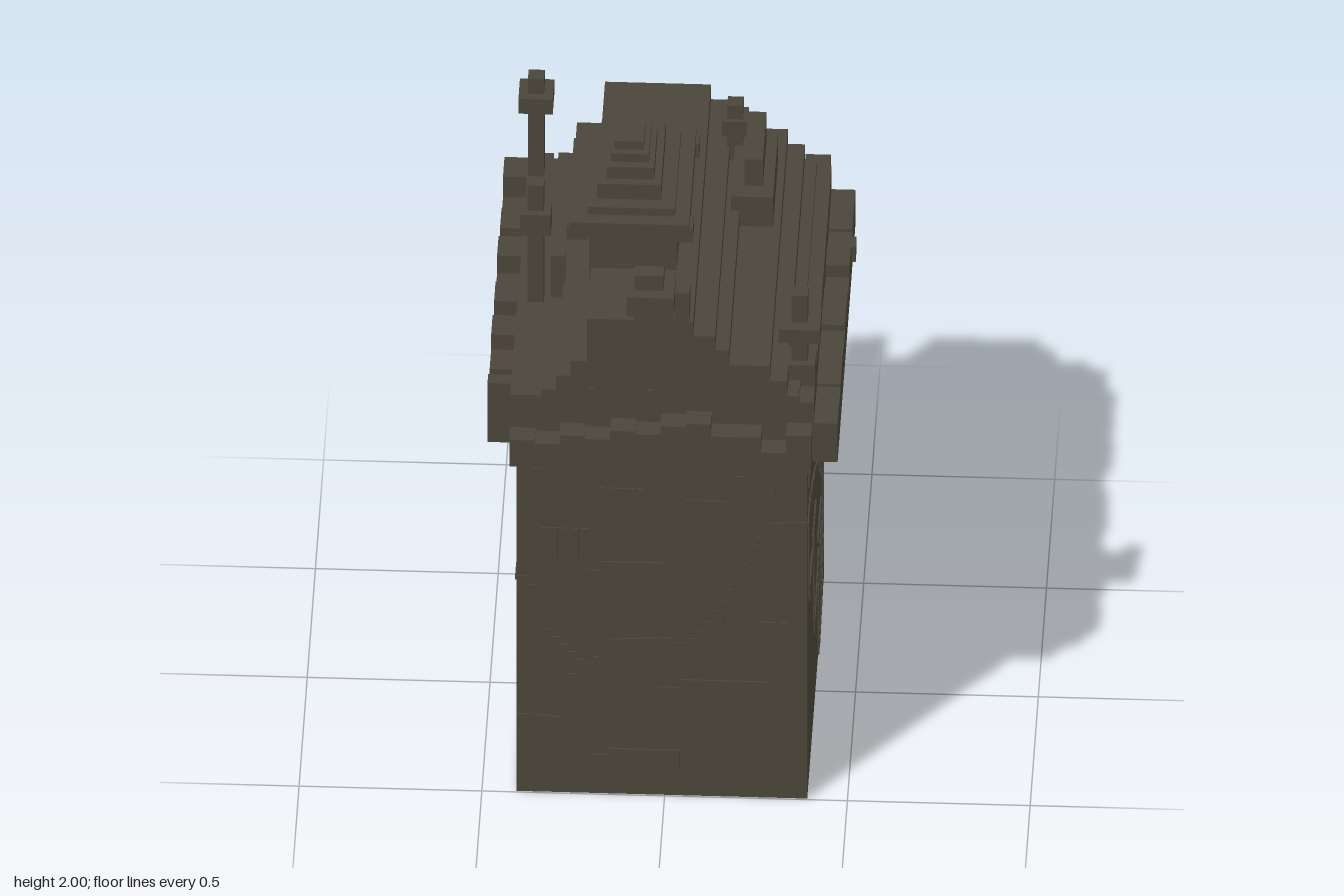
import * as THREE from 'three';

const stone = new THREE.MeshStandardMaterial({ color: 0x4b463a });
stone.name = 'dark stone';

// Box given by its limits on each axis
function block(parent, name, x0, x1, y0, y1, z0, z1) {
  const m = new THREE.Mesh(new THREE.BoxGeometry(x1 - x0, y1 - y0, z1 - z0), stone);
  m.position.set((x0 + x1) / 2, (y0 + y1) / 2, (z0 + z1) / 2);
  m.name = name;
  parent.add(m);
  return m;
}

function group(parent, name) {
  const g = new THREE.Group();
  g.name = name;
  parent.add(g);
  return g;
}

const BODY = { x0: -0.405, x1: 0.39, z0: -0.535, z1: 0.495 };

// Puts a thin plate on a wall; u runs along x or z, v is height
function plate(parent, wall, name, u0, u1, v0, v1, t = 0.005) {
  if (wall === 'front') block(parent, name, u0, u1, v0, v1, BODY.z1, BODY.z1 + t);
  if (wall === 'back') block(parent, name, u0, u1, v0, v1, BODY.z0 - t, BODY.z0);
  if (wall === 'plusX') block(parent, name, BODY.x1, BODY.x1 + t, v0, v1, u0, u1);
  if (wall === 'minusX') block(parent, name, BODY.x0 - t, BODY.x0, v0, v1, u0, u1);
}

// Stepped seam made of short thin plates along a path
function seam(parent, wall, points) {
  const g = group(parent, wall + 'Seam');
  for (let i = 0; i < points.length - 1; i++) {
    const [a, b] = points[i], [c, d] = points[i + 1];
    const n = Math.max(1, Math.round(Math.hypot(c - a, d - b) / 0.035));
    for (let k = 0; k < n; k++) {
      const p = a + (c - a) * k / n, q = b + (d - b) * k / n;
      const r = a + (c - a) * (k + 1) / n, s = b + (d - b) * (k + 1) / n;
      plate(g, wall, 'seamStone', Math.min(p, r) - 0.005, Math.max(p, r) + 0.005,
        Math.min(q, s) - 0.005, Math.max(q, s) + 0.005, 0.004);
    }
  }
}

// Barred window: a row of upright slats
function windowBars(parent, wall, u, v, w, h, n) {
  const g = group(parent, 'barredWindow');
  const step = w / n;
  for (let i = 0; i < n; i++) {
    const a = u - w / 2 + i * step;
    plate(g, wall, 'windowBar', a, a + step * 0.7, v - h / 2, v + h / 2);
  }
}

// Irregular stone patch made of two overlapping slabs
function patch(parent, wall, u, v, w, h) {
  const g = group(parent, 'stonePatch');
  plate(g, wall, 'patchLow', u - w / 2, u + w * 0.25, v - h / 2, v + h * 0.2, 0.004);
  plate(g, wall, 'patchHigh', u - w * 0.3, u + w / 2, v - h * 0.25, v + h / 2, 0.005);
}

// Chimney: stem, wide cap and small top
function chimney(parent, name, x, z, base, capY, capTop, top, w, s = 0.022) {
  const g = group(parent, name);
  block(g, 'stem', x - s, x + s, base, capY, z - s, z + s);
  block(g, 'cap', x - w, x + w, capY, capTop, z - w, z + w);
  block(g, 'capTop', x - s, x + s, capTop, top, z - s, z + s);
}

export function createModel() {
  const model = new THREE.Group();
  model.name = 'stoneTower';

  // Main tower
  block(model, 'towerBody', BODY.x0, BODY.x1, 0, 1.19, BODY.z0, BODY.z1);

  // Stepped roof, running front to back
  const roof = group(model, 'steppedRoof');
  const steps = [
    [-0.42, 0.41, 1.18, 1.38], [-0.337, 0.37, 1.38, 1.4], [-0.295, 0.337, 1.4, 1.45],
    [-0.255, 0.29, 1.45, 1.5], [-0.21, 0.178, 1.5, 1.55], [-0.21, 0.14, 1.55, 1.595],
    [-0.21, 0.08, 1.595, 1.645],
  ];
  for (const [x0, x1, y0, y1] of steps) block(roof, 'roofStep', x0, x1, y0, y1, -0.55, 0.54);

  // Parapet: a ledge with an uneven row of stones on each side
  const parapet = group(model, 'parapet');
  block(parapet, 'frontLedge', -0.42, 0.405, 1.18, 1.25, 0.53, 0.6);
  block(parapet, 'backLedge', -0.42, 0.41, 1.17, 1.25, -0.6, -0.54);
  block(parapet, 'rightLedge', -0.485, -0.41, 1.18, 1.25, -0.55, 0.49);
  block(parapet, 'leftLedge', 0.4, 0.475, 1.18, 1.25, -0.55, 0.54);
  block(parapet, 'sideStone', 0.475, 0.487, 1.24, 1.29, -0.35, -0.3);
  const frontTops = [1.27, 1.26, 1.29, 1.28, 1.31, 1.3, 1.33, 1.34, 1.3, 1.3, 1.25, 1.31];
  const backTops = [1.36, 1.3, 1.38, 1.31, 1.33, 1.38, 1.3, 1.32, 1.37, 1.3, 1.34, 1.38];
  const sideTops = [1.3, 1.3, 1.29, 1.31, 1.27, 1.3, 1.31, 1.29, 1.31, 1.31, 1.3, 1.31];
  const rightTops = [1.38, 1.31, 1.34, 1.3, 1.38, 1.32, 1.36, 1.3, 1.38, 1.33, 1.31, 1.38];
  for (let i = 0; i < 12; i++) {
    const x0 = -0.42 + i * 0.0688, x1 = x0 + 0.0688;
    const z0 = -0.55 + i * 0.0908, z1 = z0 + 0.0908;
    block(parapet, 'frontMerlon', x0, x1, 1.24, frontTops[i], 0.53, 0.6);
    block(parapet, 'backMerlon', x0, x1, 1.24, backTops[i], -0.6, -0.54);
    block(parapet, 'leftMerlon', 0.4, 0.475, 1.24, sideTops[i], z0, z1);
    block(parapet, 'rightMerlon', -0.485, -0.41, 1.24, rightTops[i], z0, Math.min(z1, 0.49));
  }

  // Lookout turret with a tiered cap
  const turret = group(model, 'turret');
  const tiers = [
    [-0.215, 0.025, 1.6, 1.78, -0.07, 0.305], [-0.267, 0.06, 1.78, 1.83, -0.11, 0.35],
    [-0.22, 0.02, 1.83, 1.855, -0.07, 0.31], [-0.195, -0.02, 1.855, 1.905, -0.02, 0.27],
    [-0.17, -0.04, 1.905, 1.945, 0.03, 0.245], [-0.16, -0.055, 1.945, 1.972, 0.075, 0.22],
    [-0.15, -0.07, 1.972, 2, 0.11, 0.2],
  ];
  for (const [x0, x1, y0, y1, z0, z1] of tiers) block(turret, 'turretTier', x0, x1, y0, y1, z0, z1);
  for (const [x, z] of [[-0.25, 0.31], [0.04, 0.31], [0.04, -0.08]])
    block(turret, 'rimStone', x - 0.025, x + 0.03, 1.765, 1.81, z - 0.03, z + 0.03);

  // Small carved finial on the front gable
  const finial = group(model, 'gableFinial');
  block(finial, 'finialStem', -0.08, 0.025, 1.59, 1.7, 0.5, 0.54);
  block(finial, 'finialHead', -0.1, 0.03, 1.7, 1.765, 0.47, 0.6);
  block(finial, 'finialSide', 0.03, 0.07, 1.64, 1.74, 0.48, 0.54);
  block(finial, 'finialTop', -0.08, 0.0, 1.765, 1.815, 0.52, 0.565);
  for (const x of [-0.2, -0.04]) plateOnGable(model, x);

  // Chimneys and roof dormer
  chimney(model, 'frontChimney', 0.367, 0.422, 1.38, 1.535, 1.58, 1.67, 0.057);
  block(model, 'frontChimneyFoot', 0.325, 0.41, 1.38, 1.45, 0.38, 0.465);
  chimney(model, 'sideChimney', -0.37, 0.09, 1.35, 1.62, 1.69, 1.775, 0.042);
  block(model, 'sideChimneyArm', -0.33, -0.29, 1.4, 1.54, 0.07, 0.115);
  chimney(model, 'backChimney', -0.395, -0.487, 1.35, 1.61, 1.66, 1.71, 0.047);
  chimney(model, 'dormerChimney', 0.156, -0.355, 1.5, 1.64, 1.69, 1.735, 0.035);
  block(model, 'dormer', 0.155, 0.27, 1.45, 1.6, -0.39, -0.1);
  block(model, 'dormerRidge', 0.19, 0.24, 1.6, 1.69, -0.37, -0.15);

  // Wall seams
  seam(model, 'front', [[-0.4, 0.73], [-0.36, 0.67], [-0.33, 0.55], [-0.25, 0.45], [-0.19, 0.43],
    [-0.14, 0.52], [0, 0.53], [0.05, 0.5], [0.1, 0.53], [0.14, 0.59], [0.19, 0.7], [0.27, 0.88],
    [0.32, 0.93], [0.385, 0.935]]);
  seam(model, 'front', [[-0.2, 0.43], [-0.26, 0.37], [-0.28, 0.25], [-0.4, 0.26]]);
  seam(model, 'back', [[0.385, 0.72], [0.29, 0.66], [0.21, 0.46], [0.05, 0.43], [0.04, 0.33],
    [-0.14, 0.39], [-0.22, 0.61], [-0.3, 0.55], [-0.4, 0.41]]);
  seam(model, 'minusX', [[-0.53, 0.39], [-0.36, 0.45], [0.03, 0.44], [0.16, 0.54], [0.2, 0.68], [0.49, 0.73]]);
  seam(model, 'plusX', [[0.49, 0.93], [0.4, 0.93], [0.2, 0.85], [0, 0.75], [-0.2, 0.7], [-0.4, 0.65], [-0.53, 0.69]]);
  seam(model, 'plusX', [[0.43, 0.9], [0.43, 0.65], [0.25, 0.64], [0.13, 0.55], [0.13, 0.38],
    [0.09, 0.28], [-0.05, 0.33], [-0.15, 0.37], [-0.15, 0.02]]);
  seam(model, 'plusX', [[-0.1, 0.44], [-0.3, 0.43], [-0.29, 0.34], [-0.2, 0.25], [-0.22, 0.15],
    [-0.32, 0.18], [-0.4, 0.28], [-0.43, 0.4]]);
  seam(model, 'plusX', [[-0.53, 0.48], [-0.45, 0.45], [-0.45, 0.2], [-0.35, 0.06], [-0.2, 0.01]]);

  // Barred windows: wall, centre, size, number of bars
  const windows = [
    ['front', -0.115, 0.99, 0.13, 0.1, 5], ['front', -0.27, 0.85, 0.14, 0.1, 5],
    ['front', 0.12, 0.94, 0.13, 0.13, 5], ['front', 0.3, 0.56, 0.09, 0.075, 3],
    ['plusX', -0.045, 1.1, 0.1, 0.075, 4], ['plusX', 0.12, 0.62, 0.18, 0.11, 7],
    ['plusX', -0.34, 0.56, 0.11, 0.1, 3],
    ['back', -0.155, 1.01, 0.13, 0.1, 5], ['back', -0.31, 0.8, 0.12, 0.09, 4],
    ['back', 0.15, 0.61, 0.09, 0.07, 3],
    ['minusX', 0.25, 1.06, 0.18, 0.11, 6], ['minusX', 0.05, 0.82, 0.15, 0.1, 5],
  ];
  for (const w of windows) windowBars(model, ...w);

  // Stone patches: wall, centre, size
  const patches = [
    ['front', -0.275, 1.09, 0.18, 0.06], ['front', 0.265, 1.07, 0.15, 0.1], ['front', -0.105, 0.74, 0.22, 0.1],
    ['front', 0.13, 0.35, 0.3, 0.09], ['front', -0.08, 0.12, 0.24, 0.07],
    ['plusX', 0.365, 1.04, 0.17, 0.06], ['plusX', 0.175, 1.05, 0.03, 0.04], ['plusX', 0.08, 1.05, 0.04, 0.03],
    ['plusX', -0.195, 0.96, 0.07, 0.04], ['plusX', 0.31, 0.62, 0.18, 0.08], ['plusX', -0.42, 0.74, 0.2, 0.06],
    ['plusX', -0.215, 0.63, 0.06, 0.06],
    ['back', 0.04, 1.01, 0.2, 0.08], ['back', 0.24, 0.74, 0.16, 0.07], ['back', 0.05, 0.71, 0.18, 0.07],
    ['back', -0.155, 0.83, 0.16, 0.06], ['back', -0.235, 0.67, 0.13, 0.05], ['minusX', 0.16, 0.23, 0.12, 0.08],
  ];
  for (const p of patches) patch(model, ...p);

  return model;
}

// Narrow slit on the front gable
function plateOnGable(parent, x) {
  block(parent, 'gableSlit', x - 0.01, x + 0.01, 1.36, 1.41, 0.54, 0.546);
}
